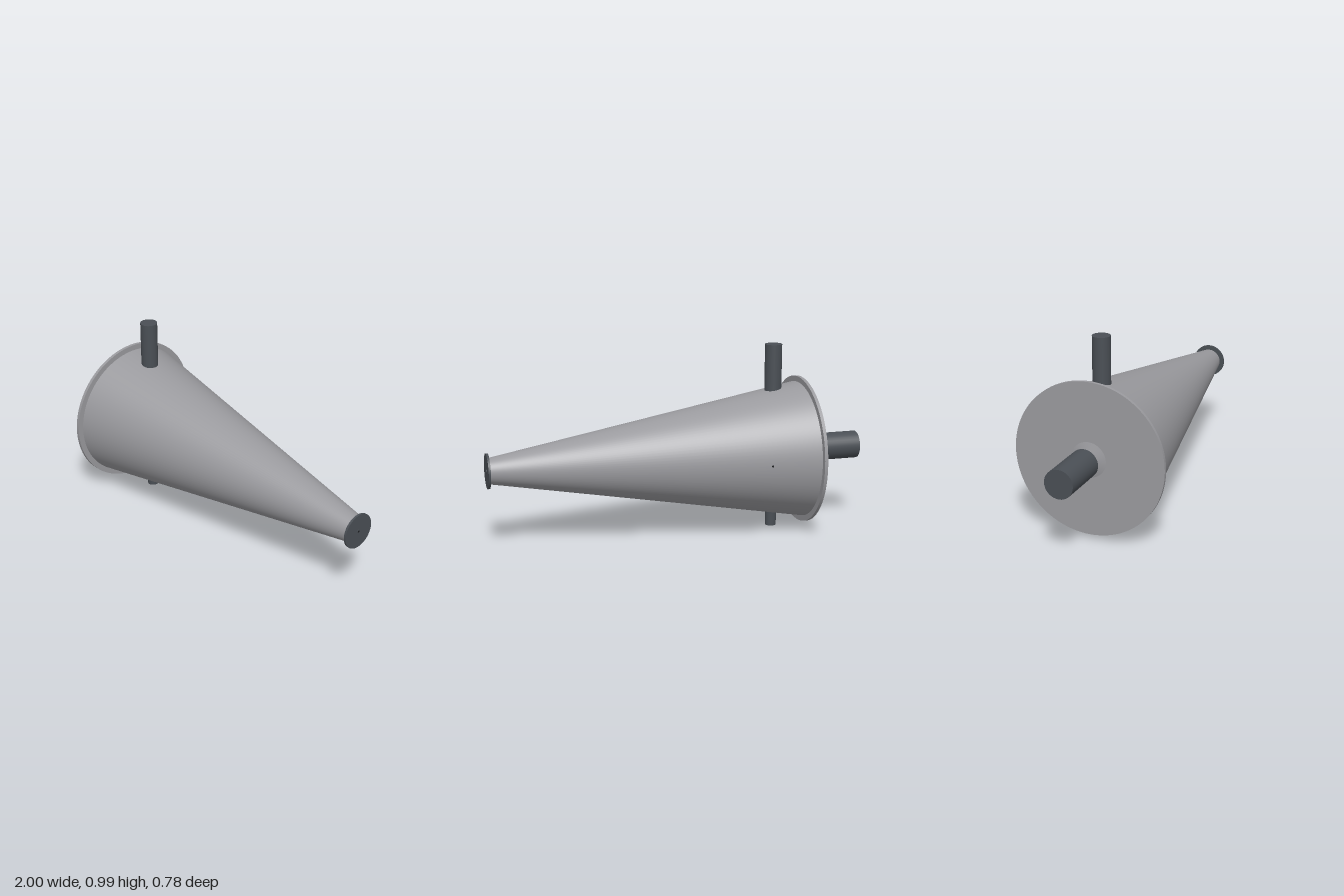
import * as THREE from 'three';

const AXIS_Y = 0.413;
const PORT_X = -0.52;

export function createModel() {
  const group = new THREE.Group();
  const steel = new THREE.MeshStandardMaterial({ color: 0x9a9a9e });
  steel.name = 'lightSteel';
  const dark = new THREE.MeshStandardMaterial({ color: 0x4a4f55 });
  dark.name = 'darkSteel';
  const black = new THREE.MeshStandardMaterial({ color: 0x1c1e20 });
  black.name = 'holeBlack';

  const add = (name, geometry, material) => {
    const mesh = new THREE.Mesh(geometry, material);
    mesh.name = name;
    group.add(mesh);
    return mesh;
  };
  // Round section along x, from x0 (radius r0) to x1 (radius r1)
  const alongX = (name, x0, x1, r0, r1, material, open = false, sides = 64) => {
    const mesh = add(name, new THREE.CylinderGeometry(r1, r0, x1 - x0, sides, 1, open), material);
    mesh.rotation.z = -Math.PI / 2;
    mesh.position.set((x0 + x1) / 2, AXIS_Y, 0);
    return mesh;
  };

  // Conical body, back flange and the shallow boss behind it
  alongX('coneBody', -0.665, 0.988, 0.361, 0.066, steel, true, 96);
  alongX('backFlange', -0.68, -0.663, 0.39, 0.39, steel, false, 96);
  alongX('backBoss', -0.692, -0.68, 0.04, 0.09, steel);

  // Inlet pipe with chamfered neck
  alongX('inletPipe', -1, -0.73, 0.073, 0.073, dark, false, 32);
  alongX('inletNeck', -0.73, -0.685, 0.073, 0.035, dark, false, 32);

  // Small end plate with a centre hole
  alongX('endPlate', 0.987, 0.998, 0.09, 0.09, dark);
  alongX('endHoleRim', 0.998, 1, 0.01, 0.01, dark, false, 20);
  alongX('endHole', 0.9995, 1.0002, 0.006, 0.006, black, false, 16);

  // Upper port
  const top = add('upperPort', new THREE.CylinderGeometry(0.045, 0.045, 0.265, 24), dark);
  top.position.set(PORT_X, 0.8525, 0);

  // Hollow lower drain
  const drainProfile = [[0.021, 0.085], [0.021, 0], [0.021, 0], [0.029, 0], [0.029, 0], [0.031, 0.085]]
    .map(([r, y]) => new THREE.Vector2(r, y));
  const drainMaterial = dark.clone();
  drainMaterial.side = THREE.DoubleSide;
  for (let i = 0; i < 3; i++) {
    const wall = add(['drainBore', 'drainRim', 'drainWall'][i],
      new THREE.LatheGeometry(drainProfile.slice(i * 2, i * 2 + 2), 24), drainMaterial);
    wall.position.set(PORT_X, 0, 0);
  }

  // Tiny sensor hole on the back of the cone, flush with its slope
  const hole = add('sensorHole', new THREE.CylinderGeometry(0.005, 0.005, 0.004, 16), black);
  const normal = new THREE.Vector3(0.295, 0, -1.653).normalize();
  hole.quaternion.setFromUnitVectors(new THREE.Vector3(0, 1, 0), normal);
  hole.position.set(-0.41, AXIS_Y, -0.3155);

  return group;
}
